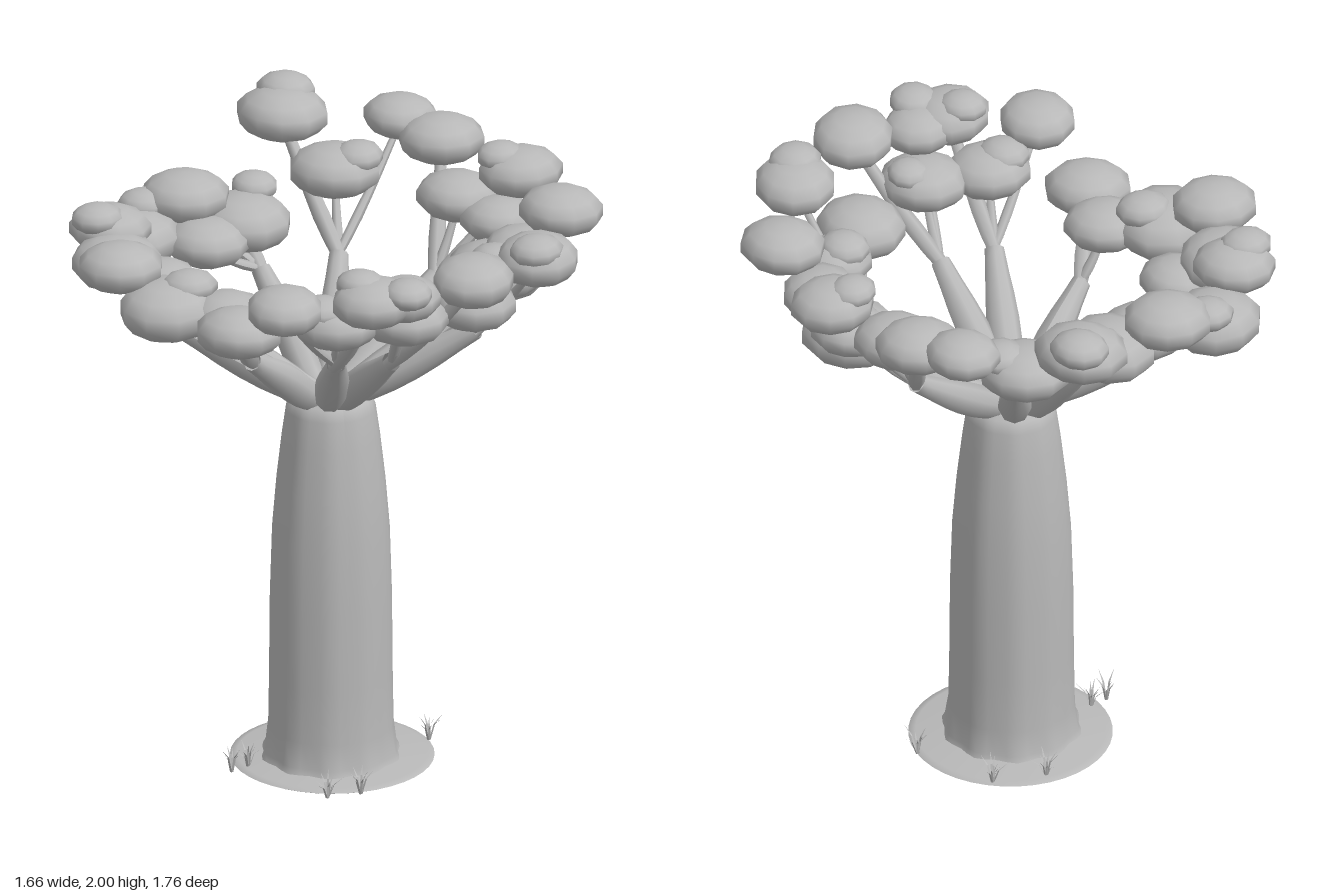
import * as THREE from 'three';

export function createModel() {
  const tree = new THREE.Group();
  tree.name = 'tree';
  const grey = new THREE.MeshStandardMaterial({ color: 0xb8b8b8, side: THREE.DoubleSide });
  grey.name = 'plain grey';
  const V = (x, y, z) => new THREE.Vector3(x, y, z);
  let seed = 7;
  const rand = () => (seed = (seed * 16807) % 2147483647) / 2147483647;

  function add(geometry, name, parent = tree) {
    const mesh = new THREE.Mesh(geometry, grey);
    mesh.name = name;
    parent.add(mesh);
    return mesh;
  }
  function group(name) {
    const g = new THREE.Group();
    g.name = name;
    tree.add(g);
    return g;
  }
  const lathe = (profile, sides) => new THREE.LatheGeometry(profile.map(([r, y]) => new THREE.Vector2(r, y)), sides);

  // tapered tube; radii are spread evenly along the path
  function limb(points, radii, steps, sides) {
    const curve = new THREE.CatmullRomCurve3(points);
    const geo = new THREE.TubeGeometry(curve, steps, 1, sides);
    const p = geo.attributes.position, v = V();
    for (let i = 0; i < p.count; i++) {
      const t = Math.floor(i / (sides + 1)) / steps;
      const f = t * (radii.length - 1), k = Math.min(Math.floor(f), radii.length - 2);
      const r = THREE.MathUtils.lerp(radii[k], radii[k + 1], f - k);
      const c = curve.getPointAt(t);
      v.fromBufferAttribute(p, i).sub(c).multiplyScalar(r).add(c);
      p.setXYZ(i, v.x, v.y, v.z);
    }
    geo.computeVertexNormals();
    return geo;
  }

  // shallow mound of ground
  add(lathe([[0, 0], [0.315, 0], [0.323, 0.004], [0.3, 0.01], [0.2, 0.02]], 40), 'groundDisc').position.x = 0.013;

  // bottle-shaped trunk with soft flutes and a flared foot
  const trunkGeo = lathe([[0.222, 0.012], [0.21, 0.035], [0.2, 0.12], [0.197, 0.3], [0.195, 0.55],
    [0.188, 0.78], [0.174, 0.95], [0.157, 1.1], [0.143, 1.2], [0.13, 1.24], [0.065, 1.285], [0, 1.285]], 40);
  const tp = trunkGeo.attributes.position;
  for (let i = 0; i < tp.count; i++) {
    const x = tp.getX(i), z = tp.getZ(i), y = tp.getY(i);
    const k = 1 + (y < 0.1 ? 0.03 : 0.012) * Math.cos(10 * Math.atan2(z, x));
    tp.setXYZ(i, x * k, y, z * k);
  }
  trunkGeo.computeVertexNormals();
  add(trunkGeo, 'trunk').position.set(0.005, 0, 0.01);

  // ten main branches fanning from the crown of the trunk: end x, z, y
  const ends = [
    [-0.12, -0.33, 1.55], [0.15, -0.37, 1.55], [0.41, -0.18, 1.52], [0.42, 0.05, 1.48], [0.41, 0.25, 1.51],
    [0.07, 0.44, 1.52], [-0.11, 0.43, 1.53], [-0.32, 0.22, 1.48], [-0.46, -0.07, 1.49], [-0.42, -0.21, 1.49],
  ].map(([x, z, y]) => V(x, y, z));
  const hub = V(-0.005, 1.25, 0.012);
  const branches = group('mainBranches');
  for (const e of ends) {
    const d = e.clone().sub(hub).setY(0).normalize();
    const along = (r, y) => hub.clone().addScaledVector(d, r).setY(y);
    const mid = V(e.x * 0.58, 1.27 + (e.y - 1.27) * 0.45, e.z * 0.58);
    add(limb([along(0.05, 1.25), along(0.1, 1.272), mid, e],
      [0.04, 0.05, 0.054, 0.053, 0.047, 0.038, 0.031], 12, 9), 'mainBranch', branches);
  }

  // leaf clumps: x, y, z, radius
  const clumps = [
    [0.08, 1.89, -0.74, 0.14], [-0.14, 1.67, -0.44, 0.15], [0.2, 1.75, -0.57, 0.14],
    [0.43, 1.89, -0.61, 0.115], [0.52, 1.86, -0.465, 0.13], [0.51, 1.75, -0.255, 0.13],
    [0.68, 1.86, -0.14, 0.13], [0.6, 1.72, -0.1, 0.12], [0.54, 1.61, 0.04, 0.155],
    [0.7, 1.87, 0.22, 0.13], [0.6, 1.71, 0.14, 0.13], [0.49, 1.71, 0.3, 0.12],
    [0.52, 1.86, 0.55, 0.135], [0.33, 1.7, 0.465, 0.14], [0.26, 1.88, 0.7, 0.135],
    [0.065, 1.73, 0.59, 0.135], [-0.08, 1.86, 0.73, 0.13], [0.03, 1.85, 0.71, 0.115],
    [-0.15, 1.73, 0.57, 0.13], [-0.345, 1.83, 0.64, 0.125], [-0.43, 1.68, 0.43, 0.13],
    [-0.41, 1.66, 0.24, 0.125], [-0.58, 1.67, 0.16, 0.16], [-0.7, 1.78, 0.04, 0.13],
    [-0.65, 1.71, -0.16, 0.145], [-0.63, 1.77, -0.29, 0.125], [-0.51, 1.64, -0.12, 0.12],
    [-0.51, 1.67, -0.42, 0.15], [-0.32, 1.76, -0.49, 0.135], [-0.29, 1.65, -0.36, 0.13],
  ];
  // small tufts sitting on the clumps
  const caps = [
    [0.11, 1.945, -0.8, 0.09], [-0.08, 1.75, -0.525, 0.075], [0.27, 1.8, -0.54, 0.08],
    [0.62, 1.91, -0.165, 0.075], [0.46, 1.76, 0.29, 0.08], [0.5, 1.91, 0.6, 0.085],
    [0.12, 1.78, 0.58, 0.07], [-0.11, 1.91, 0.69, 0.075], [0.015, 1.9, 0.79, 0.08],
    [-0.2, 1.78, 0.57, 0.08], [-0.51, 1.74, 0.16, 0.085], [-0.68, 1.82, -0.265, 0.08],
    [-0.455, 1.75, -0.49, 0.08], [0.52, 1.68, 0.1, 0.075],
  ];
  const canopy = group('canopy');
  function clump([x, y, z, r], name) {
    const geo = new THREE.SphereGeometry(1, 10, 7);
    const p = geo.attributes.position;
    const a = rand() * 6, w = 0.04 + rand() * 0.04;
    for (let i = 0; i < p.count; i++) {
      const px = p.getX(i), py = p.getY(i), pz = p.getZ(i);
      const k = 1.03 + w * Math.sin(2 * Math.atan2(pz, px) + a) * Math.hypot(px, pz);
      p.setXYZ(i, px * k, py, pz * k);
    }
    const mesh = add(geo, name, canopy);
    mesh.position.set(x, y, z);
    mesh.scale.set(r, r * 0.6, r);
    mesh.rotation.y = a;
  }
  clumps.forEach((c) => clump(c, 'leafClump'));
  caps.forEach((c) => clump(c, 'leafTuft'));

  // each branch runs on as one stout limb, with thin twigs to the other clumps
  const twigs = group('twigs');
  const continued = new Set();
  for (const [x, y, z] of clumps) {
    const tip = V(x, y - 0.02, z);
    const from = ends.reduce((a, b) => (Math.hypot(a.x - x, a.z - z) < Math.hypot(b.x - x, b.z - z) ? a : b));
    const mid = from.clone().lerp(tip, 0.5);
    mid.y -= 0.012;
    const size = continued.has(from) ? 0.6 : 1;
    continued.add(from);
    const radii = [0.02, 0.03, 0.025, 0.021, 0.017].map((r) => r * size);
    add(limb([from.clone().lerp(tip, -0.06), mid, tip], radii, 6, 7), 'twig', twigs);
  }

  // grass tufts round the mound, made of bent pointed blades
  const grass = group('grass');
  const spots = [[-0.335, 0.05], [-0.275, 0.03], [0.335, -0.01], [0.01, -0.285], [0.18, -0.255], [-0.11, 0.34], [0, 0.34]];
  for (const [gx, gz] of spots) {
    const pos = [];
    for (let i = 0; i < 9; i++) {
      const a = (i + rand() * 0.6) * Math.PI / 4.5, reach = 0.02 + rand() * 0.035, h = 0.055 + rand() * 0.035;
      const c = Math.cos(a), s = Math.sin(a), w = 0.004;
      const at = (out, side, y) => [c * out - s * side, y, s * out + c * side];
      const bl = at(0.004, -w, 0), br = at(0.004, w, 0);
      const ml = at(reach * 0.4, -w * 0.8, h * 0.65), mr = at(reach * 0.4, w * 0.8, h * 0.65);
      pos.push(...bl, ...ml, ...br, ...br, ...ml, ...mr, ...ml, ...at(reach, 0, h), ...mr);
    }
    const geo = new THREE.BufferGeometry();
    geo.setAttribute('position', new THREE.Float32BufferAttribute(pos, 3));
    geo.computeVertexNormals();
    add(geo, 'grassTuft', grass).position.set(gx, 0.006, gz);
  }

  return tree;
}
